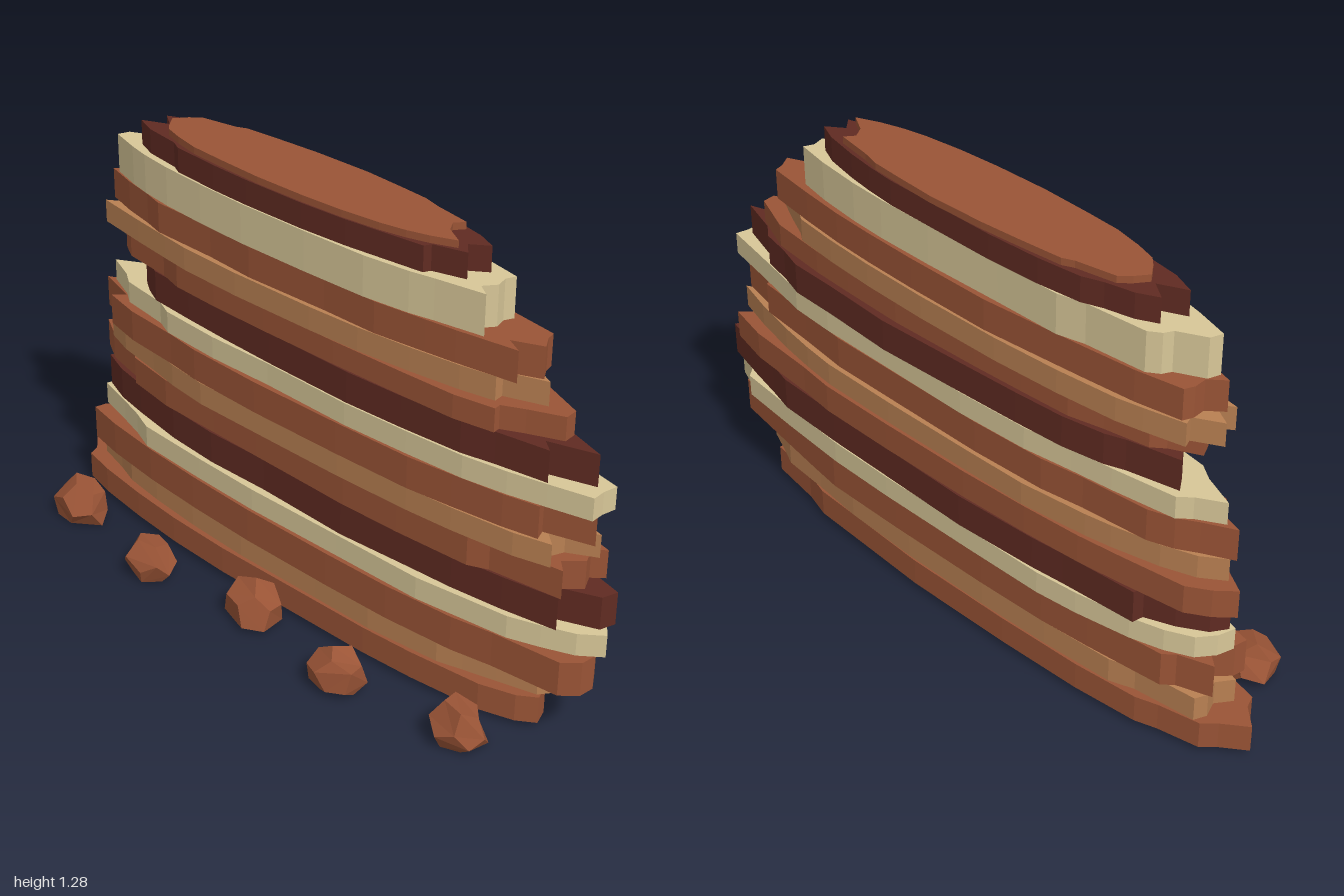
import * as THREE from 'three';

const mat = (name, color) => {
  const m = new THREE.MeshStandardMaterial({ color });
  m.name = name;
  return m;
};

// Repeatable noise in -1..1
function noise(seed) {
  const s = Math.sin(seed * 127.1 + 11.7) * 43758.5453;
  return (s - Math.floor(s)) * 2 - 1;
}

// One rock stratum: a ragged, flattened oval fitted to its bounds and extruded upwards
function stratumGeometry(seed, y0, y1, xMin, xMax, zBack, zFront) {
  const sides = 26;
  const pow = (v) => Math.sign(v) * Math.abs(v) ** 0.82;
  const pts = [];
  for (let i = 0; i < sides; i++) {
    const a = (i / sides) * Math.PI * 2;
    const r = 1 + 0.09 * noise(seed * 31 + i);
    const depth = 1 + 0.04 * noise(seed * 17 + i * 3);
    pts.push(new THREE.Vector2(pow(Math.cos(a)) * r, -pow(Math.sin(a)) * depth));
  }
  const box = new THREE.Box2().setFromPoints(pts);
  const fit = THREE.MathUtils.mapLinear;
  for (const p of pts) {
    p.x = fit(p.x, box.min.x, box.max.x, xMin, xMax);
    p.y = fit(p.y, box.min.y, box.max.y, -zFront, -zBack);
  }
  const g = new THREE.ExtrudeGeometry(new THREE.Shape(pts), { depth: y1 - y0, bevelEnabled: false });
  return g.rotateX(-Math.PI / 2).translate(0, y0, 0);
}

// Faceted boulder, broad at the foot, with its underside cut flat on the ground
function boulderGeometry(seed) {
  const g = new THREE.DodecahedronGeometry(0.09, 0);
  g.rotateY(seed * 1.3).rotateX(seed * 0.7);
  const p = g.attributes.position;
  for (let i = 0; i < p.count; i++) {
    const x = p.getX(i), y = p.getY(i), z = p.getZ(i);
    const key = Math.round(x * 1000) + Math.round(y * 1000) * 3 + Math.round(z * 1000) * 7;
    const r = 1 + 0.1 * noise(key + seed);
    p.setXYZ(i, x * r, Math.max(0, y * r + 0.042), z * r * 0.82);
  }
  g.computeVertexNormals();
  return g;
}

export function createModel() {
  const model = new THREE.Group();
  model.name = 'layeredMesa';
  const brick = mat('brickRock', 0x9a5436);
  const tan = mat('tanRock', 0xb98052);
  const cream = mat('creamRock', 0xd8c798);
  const dark = mat('darkRock', 0x602b22);

  // Strata from the ground up: material, y0, y1, xMin, xMax, zBack, zFront
  const strata = [
    [brick, 0.015, 0.098, -1.0, 0.845, -0.26, 0.06],
    [tan, 0.098, 0.172, -0.905, 0.865, -0.255, 0.047],
    [brick, 0.172, 0.276, -0.905, 0.975, -0.257, 0.057],
    [cream, 0.276, 0.343, -0.895, 0.997, -0.267, 0.047],
    [dark, 0.343, 0.441, -0.885, 0.98, -0.27, 0.033],
    [brick, 0.441, 0.526, -0.94, 0.92, -0.265, 0.032],
    [tan, 0.526, 0.594, -0.895, 0.925, -0.255, 0.037],
    [brick, 0.594, 0.689, -0.91, 0.945, -0.243, 0.041],
    [cream, 0.689, 0.755, -0.875, 0.962, -0.243, 0.032],
    [dark, 0.755, 0.847, -0.76, 0.93, -0.25, 0.027],
    [brick, 0.847, 0.915, -0.785, 0.83, -0.23, 0.022],
    [tan, 0.915, 0.983, -0.855, 0.765, -0.242, 0.024],
    [brick, 0.983, 1.073, -0.825, 0.745, -0.235, 0.015],
    [cream, 1.073, 1.188, -0.795, 0.605, -0.22, 0.015],
    [dark, 1.188, 1.26, -0.69, 0.535, -0.225, 0.01],
    [brick, 1.26, 1.28, -0.6, 0.485, -0.222, 0.006],
  ];
  strata.forEach(([material, ...bounds], i) => {
    const mesh = new THREE.Mesh(stratumGeometry(i + 1, ...bounds), material);
    mesh.name = i === strata.length - 1 ? 'summitCap' : `stratum${i + 1}`;
    model.add(mesh);
  });

  // Row of fallen boulders along the front foot
  [[-0.79, 0.14], [-0.41, 0.195], [-0.03, 0.14], [0.345, 0.195], [0.735, 0.14]].forEach(([x, z], i) => {
    const boulder = new THREE.Mesh(boulderGeometry(i + 1), brick);
    boulder.name = `boulder${i + 1}`;
    boulder.position.set(x, 0, z);
    model.add(boulder);
  });
  return model;
}
